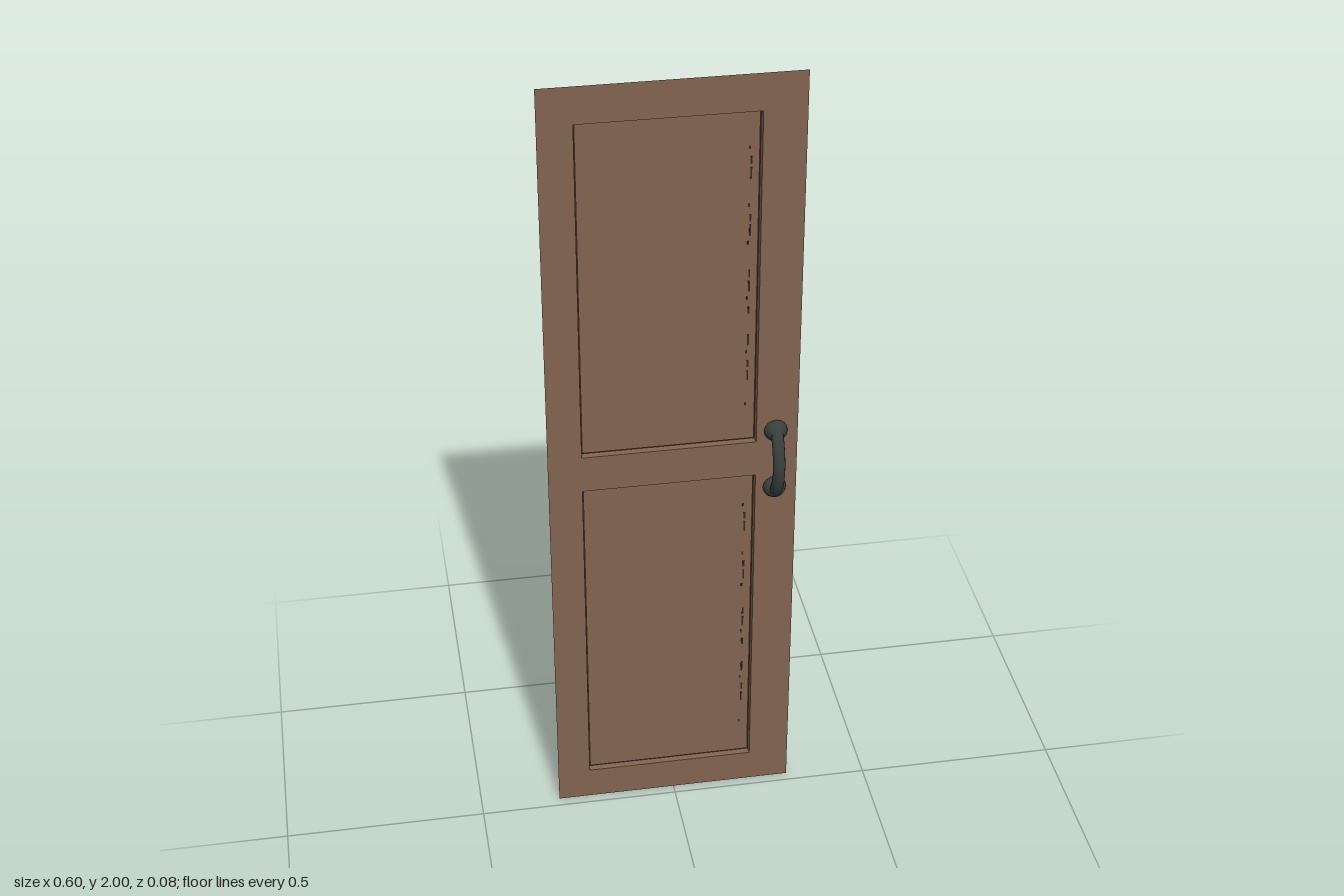
import * as THREE from 'three';

const SHEET_Z = -0.025, FLOOR_Z = -0.04, HANDLE_X = 0.246;
const PANELS = [['lower', 0.085, 0.955], ['upper', 1.05, 1.91]];
const LEFT = -0.219, RIGHT = 0.2, SLOPE = 0.002, LINE = 0.003;
const MOUNTS = [0.92, 1.08];

// Corners of a rectangle, counter-clockwise, inset by d
const corners = (y0, y1, d) => [
  [LEFT + d, y0 + d], [RIGHT - d, y0 + d], [RIGHT - d, y1 - d], [LEFT + d, y1 - d],
];
const toPoints = (list) => list.map(([x, y]) => new THREE.Vector2(x, y));

// Band of four quads joining two rectangles at their own depths
function band(outer, zOuter, inner, zInner) {
  const pos = [];
  for (let i = 0; i < 4; i++) {
    const j = (i + 1) % 4;
    const a = [...outer[i], zOuter], b = [...outer[j], zOuter];
    const c = [...inner[j], zInner], d = [...inner[i], zInner];
    pos.push(...a, ...b, ...c, ...a, ...c, ...d);
  }
  const geo = new THREE.BufferGeometry();
  geo.setAttribute('position', new THREE.Float32BufferAttribute(pos, 3));
  geo.computeVertexNormals();
  return geo;
}

export function createModel() {
  const group = new THREE.Group();
  group.name = 'cabinetDoor';
  const wood = new THREE.MeshStandardMaterial({ color: 0x82634e, side: THREE.DoubleSide });
  wood.name = 'brown wood';
  const dark = new THREE.MeshStandardMaterial({ color: 0x33271f, side: THREE.DoubleSide });
  dark.name = 'dark groove';
  const iron = new THREE.MeshStandardMaterial({ color: 0x373f3c, side: THREE.DoubleSide });
  iron.name = 'dark iron';

  const add = (parent, name, geo, mat, x = 0, y = 0, z = 0) => {
    const mesh = new THREE.Mesh(geo, mat);
    mesh.name = name;
    mesh.position.set(x, y, z);
    parent.add(mesh);
  };

  // Thin door sheet, open at both panels and behind the handle mounts
  const sheet = new THREE.Shape(toPoints([[-0.3, 0], [0.3, 0], [0.3, 2], [-0.3, 2]]));
  for (const [, y0, y1] of PANELS) {
    sheet.holes.push(new THREE.Path(toPoints(corners(y0, y1, 0).reverse())));
  }
  for (const y of MOUNTS) {
    sheet.holes.push(new THREE.Path().absarc(HANDLE_X, y, 0.025, 0, Math.PI * 2, true));
  }
  add(group, 'doorFrame', new THREE.ShapeGeometry(sheet, 12), wood, 0, 0, SHEET_Z);

  // Recessed panels: steep walls, fine dark groove, floor and worn marks
  for (const [name, y0, y1] of PANELS) {
    const panel = new THREE.Group();
    panel.name = name + 'Panel';
    group.add(panel);
    const rim = corners(y0, y1, 0);
    const foot = corners(y0, y1, SLOPE);
    const inner = corners(y0, y1, SLOPE + LINE);
    add(panel, 'panelWalls', band(rim, SHEET_Z, foot, FLOOR_Z), wood);
    add(panel, 'panelGroove', band(foot, FLOOR_Z, inner, FLOOR_Z), dark);
    add(panel, 'panelFloor', new THREE.ShapeGeometry(new THREE.Shape(toPoints(inner))), wood, 0, 0, FLOOR_Z);
    for (let i = 0; i < 16; i++) {
      const y = y0 + 0.1 + (i * (y1 - y0 - 0.16)) / 16 + 0.012 * ((i * 3) % 4);
      const mark = new THREE.BoxGeometry(0.004, 0.008 + 0.01 * ((i * 2) % 3), 0.002);
      add(panel, 'wornMark', mark, dark, 0.174 + 0.004 * ((i * i) % 3), y, FLOOR_Z);
    }
  }

  // Handle: two hollow bell mounts and a bowed grip
  const handle = new THREE.Group();
  handle.name = 'handle';
  group.add(handle);
  const bell = new THREE.LatheGeometry(toPoints([
    [0.026, 0], [0.0285, 0.003], [0.027, 0.01], [0.0225, 0.018], [0.016, 0.025], [0.008, 0.029], [0, 0.03],
  ]), 16).rotateX(Math.PI / 2);
  for (const y of MOUNTS) add(handle, 'handleMount', bell, iron, HANDLE_X, y, SHEET_Z);

  const path = new THREE.CatmullRomCurve3([
    [0.918, -0.008], [0.932, 0.005], [0.962, 0.02], [1, 0.027], [1.038, 0.02], [1.068, 0.005], [1.082, -0.008],
  ].map(([y, z]) => new THREE.Vector3(0, y, z)));
  add(handle, 'handleGrip', new THREE.TubeGeometry(path, 24, 0.015, 12), iron, HANDLE_X);

  return group;
}
